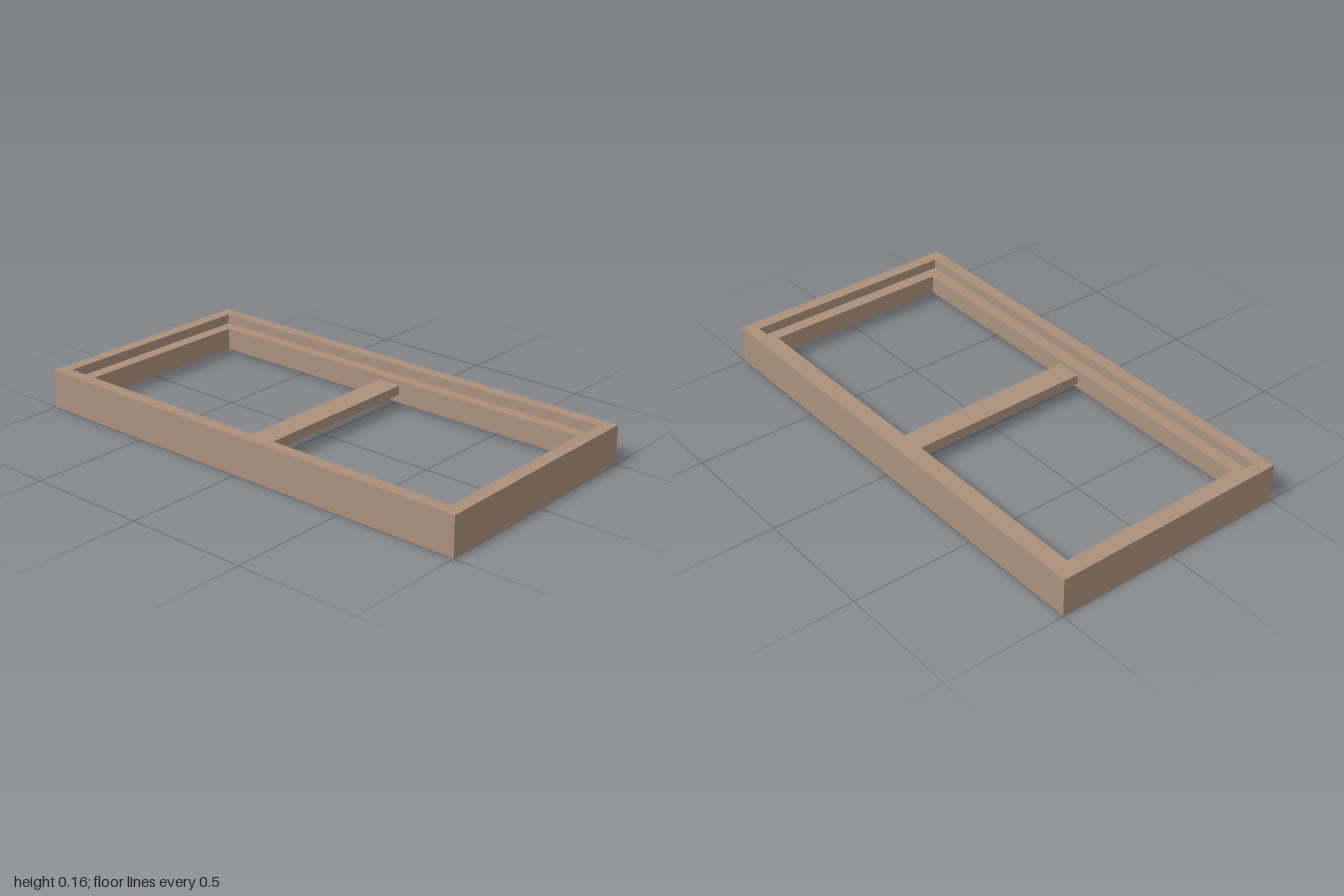
import * as THREE from 'three';

const wood = new THREE.MeshStandardMaterial({ color: 0xaa907b });
wood.name = 'light brown wood';

function rectangle(PathType, w, d) {
  const x = w / 2, z = d / 2;
  return new PathType([[-x, -z], [x, -z], [x, z], [-x, z]].map(([a, b]) => new THREE.Vector2(a, b)));
}

// Rectangular ring lying flat, from height y0 to y1
function ring(name, outer, inner, y0, y1) {
  const shape = rectangle(THREE.Shape, ...outer);
  shape.holes.push(rectangle(THREE.Path, ...inner));
  const geometry = new THREE.ExtrudeGeometry(shape, { depth: y1 - y0, bevelEnabled: false });
  geometry.rotateX(-Math.PI / 2).translate(0, y0, 0);
  const mesh = new THREE.Mesh(geometry, wood);
  mesh.name = name;
  return mesh;
}

export function createModel() {
  const model = new THREE.Group();
  model.name = 'windowFrame';

  // Tall outer frame and the inner frame recessed at top and bottom
  model.add(ring('outerFrame', [2, 1], [1.896, 0.896], 0, 0.16));
  model.add(ring('innerFrame', [1.896, 0.896], [1.79, 0.79], 0.04, 0.12));

  // Thin centre bar between the long sides
  const bar = new THREE.Mesh(new THREE.BoxGeometry(0.105, 0.04, 0.79), wood);
  bar.name = 'centreBar';
  bar.position.y = 0.08;
  model.add(bar);

  return model;
}
